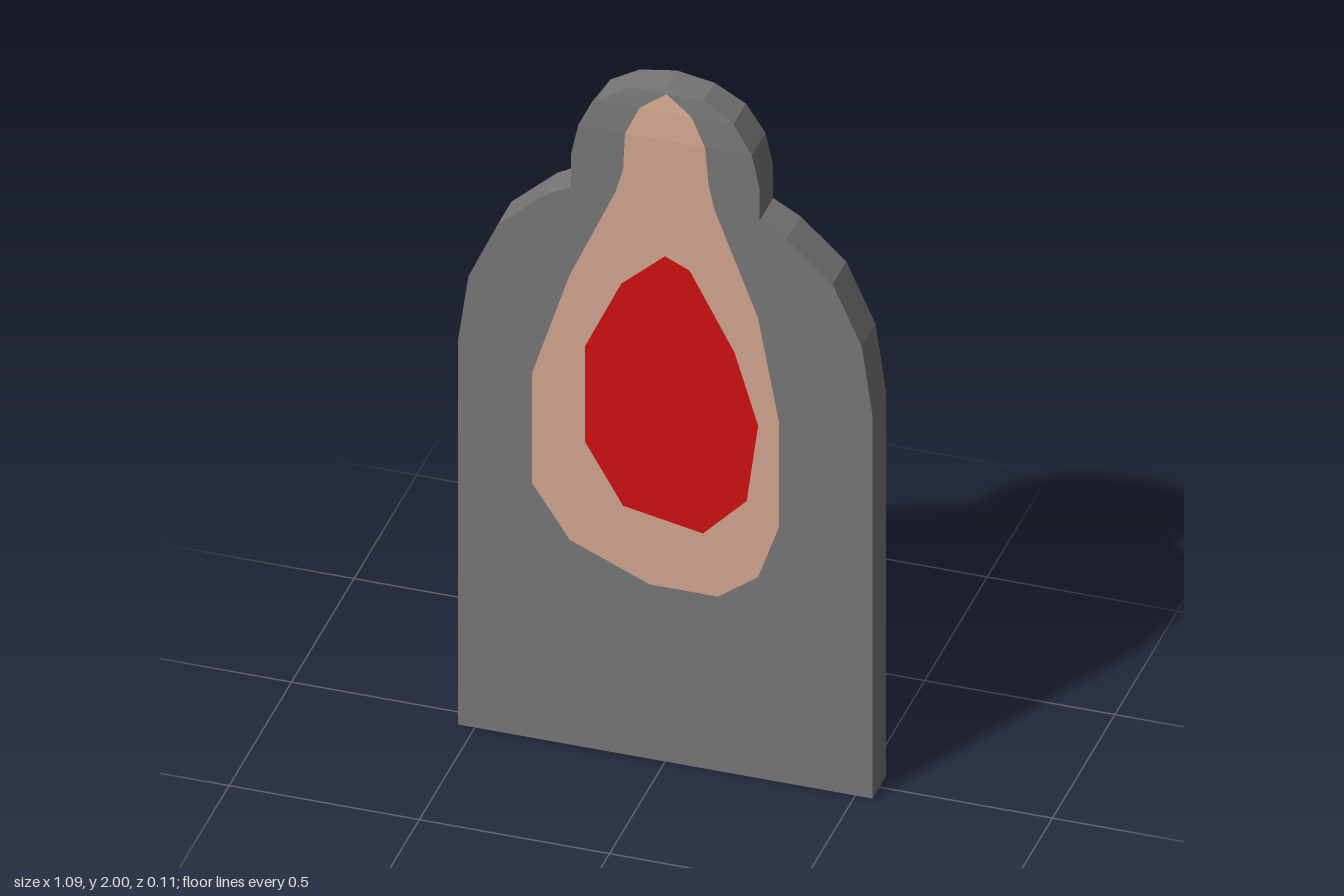
import * as THREE from 'three';

const DEPTH = 0.055;   // half thickness of the board
const LIFT = 0.0015;   // paint sits just proud of the board

// Rows of the board from bottom to top: [half width, height, half thickness]
const boardRows = [
  [0.545, 0, DEPTH], [0.545, 1.14, DEPTH], [0.517, 1.34, DEPTH], [0.44, 1.51, DEPTH],
  [0.32, 1.62, DEPTH], [0.248, 1.66, DEPTH], [0.248, 1.755, DEPTH], [0.228, 1.85, DEPTH],
  [0.178, 1.93, 0.05], [0.098, 1.98, 0.043], [0, 2, 0.038],
];

// Narrow tip of the outer painted zone, following the thinning head
const tipRows = [[0.105, 1.85, DEPTH], [0.068, 1.93, 0.05], [0, 1.98, 0.043]];

// Outer painted zone below the tip, and the inner zone
const outerZone = [
  [0.105, 1.85], [0.115, 1.74], [0.13, 1.67], [0.245, 1.37], [0.3, 1.07], [0.3, 0.76],
  [0.245, 0.6], [0.14, 0.52], [-0.04, 0.52], [-0.25, 0.61], [-0.35, 0.76], [-0.35, 1.085],
  [-0.25, 1.4], [-0.13, 1.67], [-0.11, 1.74], [-0.105, 1.85],
];
const innerZone = [
  [0, 1.505], [0.065, 1.475], [0.183, 1.255], [0.245, 1.05], [0.215, 0.82],
  [0.1, 0.7], [-0.11, 0.74], [-0.21, 0.91], [-0.21, 1.195], [-0.115, 1.4],
];

const toPoints = (list) => list.map(([x, y]) => new THREE.Vector2(x, y));

function paint(color) {
  return new THREE.MeshStandardMaterial({ color, flatShading: true });
}

// Joins neighbouring rows with quads: front only, or front, back and both edges
function rowsGeometry(rows, frontOnly, lift = 0) {
  const pos = [];
  const quad = (a, b, c, d) => pos.push(...a, ...b, ...c, ...a, ...c, ...d);
  const corners = ([w, y, d]) => {
    const z = d + lift;
    return [[-w, y, z], [w, y, z], [w, y, -z], [-w, y, -z]];
  };
  for (let i = 0; i < rows.length - 1; i++) {
    const a = corners(rows[i]);
    const b = corners(rows[i + 1]);
    for (let k = 0; k < (frontOnly ? 1 : 4); k++) {
      const n = (k + 1) % 4;
      quad(a[k], a[n], b[n], b[k]);
    }
  }
  if (!frontOnly) {
    const base = corners(rows[0]);
    quad(base[3], base[2], base[1], base[0]);
  }
  const geometry = new THREE.BufferGeometry();
  geometry.setAttribute('position', new THREE.Float32BufferAttribute(pos, 3));
  geometry.computeVertexNormals();
  return geometry;
}

function addMesh(parent, name, geometry, material) {
  const mesh = new THREE.Mesh(geometry, material);
  mesh.name = name;
  parent.add(mesh);
  return mesh;
}

export function createModel() {
  const model = new THREE.Group();
  model.name = 'targetBoard';

  // Board with shoulders and a thinning head
  addMesh(model, 'board', rowsGeometry(boardRows, false), paint(0x777777));

  // Outer zone with an opening for the inner one
  const outer = new THREE.Group();
  outer.name = 'outerZone';
  model.add(outer);
  const skin = paint(0xd4a590);
  const outerShape = new THREE.Shape(toPoints(outerZone));
  outerShape.holes.push(new THREE.Path(toPoints(innerZone)));
  addMesh(outer, 'outerZoneBody', new THREE.ShapeGeometry(outerShape), skin).position.z = DEPTH + LIFT;
  addMesh(outer, 'outerZoneTip', rowsGeometry(tipRows, true, LIFT), skin);

  // Inner zone
  const innerShape = new THREE.Shape(toPoints(innerZone));
  addMesh(model, 'innerZone', new THREE.ShapeGeometry(innerShape), paint(0xd01010)).position.z = DEPTH + LIFT;

  return model;
}
